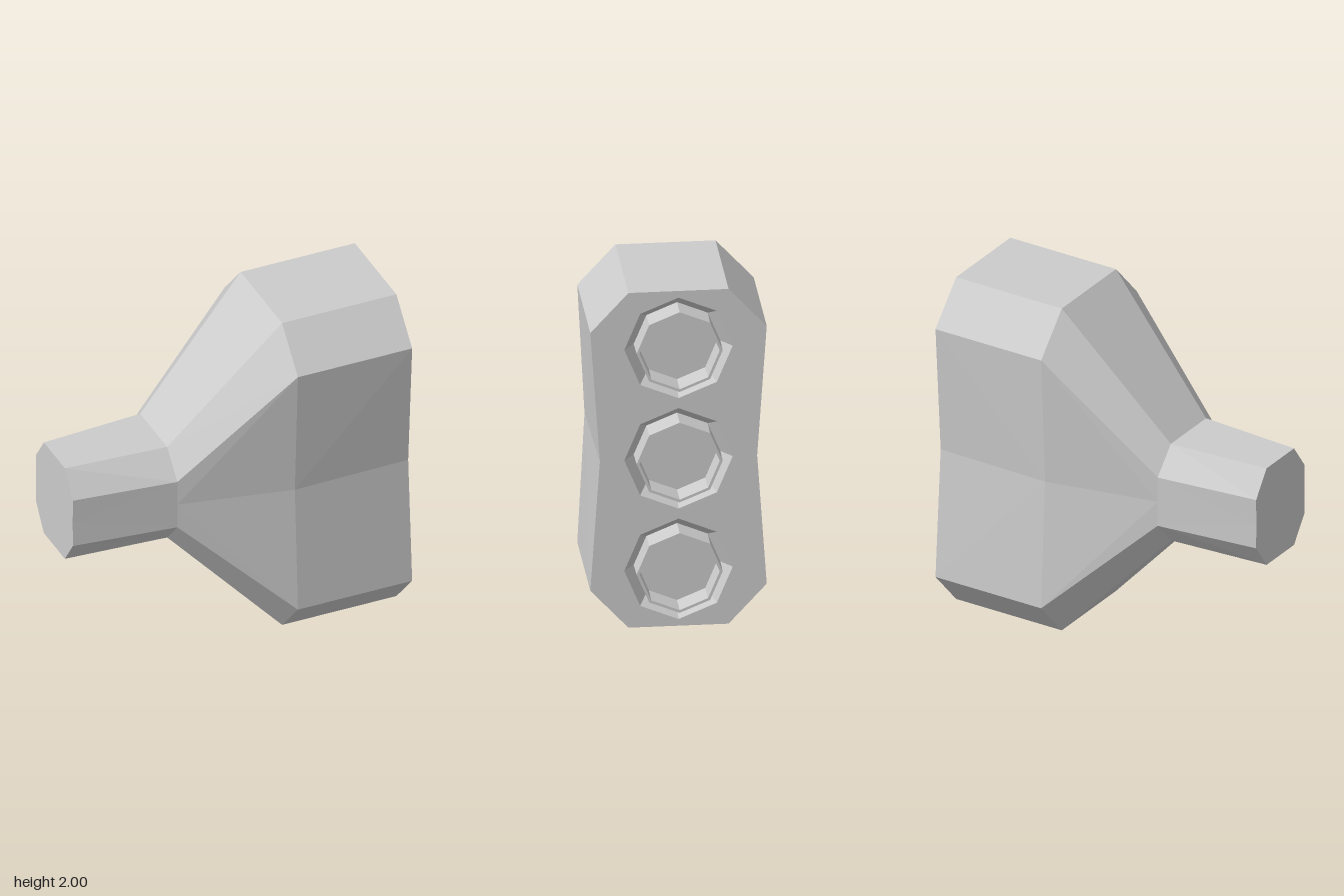
import * as THREE from 'three';

const material = new THREE.MeshStandardMaterial({ color: 0xcccccc, flatShading: true });
const END_X = 0.94;
const SOCKET_Y = [0.34, 1, 1.66];

// x, half height, shoulder height, half width of top, shoulder half width, waist half width
const sections = [
  [-1, 0.3, 0.15, 0.14, 0.247, 0.245],
  [-0.4, 0.3, 0.15, 0.18, 0.315, 0.315],
  [0.25, 1, 0.77, 0.277, 0.488, 0.448],
  [END_X, 1, 0.77, 0.277, 0.488, 0.435],
];

// Ten-sided outline as [z, y], counter-clockwise seen from +z = right, y = up
function outline([, h, s, top, side, waist]) {
  return [
    [waist, 1], [side, 1 + s], [top, 1 + h], [-top, 1 + h], [-side, 1 + s],
    [-waist, 1], [-side, 1 - s], [-top, 1 - h], [top, 1 - h], [side, 1 - s],
  ];
}

// Side walls through all sections, plus the closed narrow end
function bodyGeometry() {
  const pos = [];
  const rings = sections.map((sec) => outline(sec).map(([z, y]) => [sec[0], y, z]));
  const n = rings[0].length;
  for (let k = 0; k < rings.length - 1; k++) {
    for (let i = 0; i < n; i++) {
      const j = (i + 1) % n;
      const a = rings[k][i], b = rings[k][j], c = rings[k + 1][j], d = rings[k + 1][i];
      // mirror the diagonal so the halves match
      if (i % 5 === 0) pos.push(...a, ...d, ...c, ...a, ...c, ...b);
      else pos.push(...a, ...d, ...b, ...b, ...d, ...c);
    }
  }
  for (let i = 0; i < n; i++) {
    pos.push(-1, 1, 0, ...rings[0][i], ...rings[0][(i + 1) % n]);
  }
  const g = new THREE.BufferGeometry();
  g.setAttribute('position', new THREE.Float32BufferAttribute(pos, 3));
  g.computeVertexNormals();
  return g;
}

// Wide end plate with three octagonal openings
function endGeometry() {
  const pts = outline(sections[3]).map(([z, y]) => new THREE.Vector2(z, y));
  const shape = new THREE.Shape(pts);
  for (const y of SOCKET_Y) {
    const hole = [];
    for (let i = 0; i < 8; i++) {
      const t = (i * Math.PI) / 4;
      hole.push(new THREE.Vector2(0.3 * Math.cos(t), y + 0.3 * Math.sin(t)));
    }
    shape.holes.push(new THREE.Path(hole));
  }
  const g = new THREE.ShapeGeometry(shape);
  g.rotateY(Math.PI / 2);
  g.translate(END_X, 0, 0);
  return g;
}

// Sloped recess, raised octagonal collar and its floor
function socketGeometry() {
  const profile = [
    [0.3, END_X], [0.24, 0.86], [0.238, 1], [0.222, 1], [0.22, 0.86], [0, 0.86],
  ].map(([r, x]) => new THREE.Vector2(r, x));
  const g = new THREE.LatheGeometry(profile, 8);
  g.rotateZ(-Math.PI / 2);
  return g;
}

export function createModel() {
  const group = new THREE.Group();
  group.name = 'splitterAdapter';
  const add = (name, geometry, y = 0) => {
    const mesh = new THREE.Mesh(geometry, material);
    mesh.name = name;
    mesh.position.y = y;
    group.add(mesh);
  };
  add('body', bodyGeometry());
  add('endPlate', endGeometry());
  const socket = socketGeometry();
  SOCKET_Y.forEach((y, i) => add(`socket${i + 1}`, socket, y));
  return group;
}
